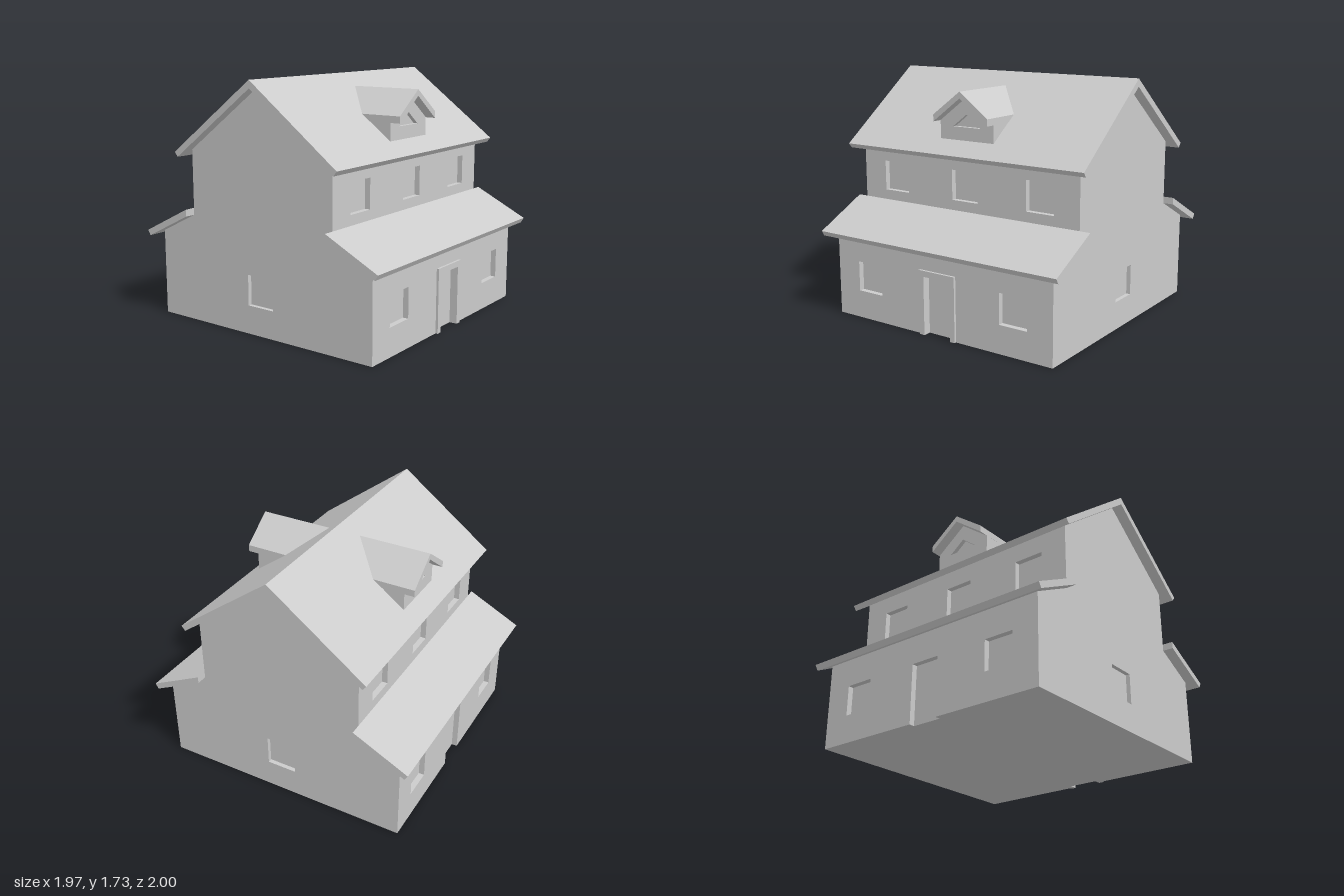
import * as THREE from 'three';

const material = new THREE.MeshStandardMaterial({ color: 0xcccccc });

function polygon(points) {
  return new THREE.Shape(points.map(([x, y]) => new THREE.Vector2(x, y)));
}

function hole(points) {
  return new THREE.Path(points.map(([x, y]) => new THREE.Vector2(x, y)));
}

const rect = (cx, y0, y1, half = 0.108) =>
  [[cx - half, y0], [cx + half, y0], [cx + half, y1], [cx - half, y1]];

// Closes a half outline by mirroring it across the vertical axis
const mirrored = (half) =>
  [...half, ...half.filter(([u]) => u !== 0).reverse().map(([u, v]) => [-u, v])];

// Extrudes an x/y shape from z0 to z1
function alongZ(name, shape, z0, z1) {
  const geometry = new THREE.ExtrudeGeometry(shape, { depth: z1 - z0, bevelEnabled: false });
  geometry.translate(0, 0, z0);
  const mesh = new THREE.Mesh(geometry, material);
  mesh.name = name;
  return mesh;
}

// Extrudes a z/y shape from x0 to x1
function alongX(name, shape, x0, x1) {
  const geometry = new THREE.ExtrudeGeometry(shape, { depth: x1 - x0, bevelEnabled: false });
  geometry.rotateY(-Math.PI / 2).translate(x1, 0, 0);
  const mesh = new THREE.Mesh(geometry, material);
  mesh.name = name;
  return mesh;
}

const WALL_X = 0.91, SIDE_RECESS = 0.03, INNER_X = WALL_X - SIDE_RECESS;
const LOWER_Z = 0.91, UPPER_Z = 0.605, RECESS = 0.04;
const ROOF_X = 0.987;

function createDormer() {
  const dormer = new THREE.Group();
  dormer.name = 'dormer';
  const outline = mirrored([[0.224, 1.298], [0.224, 1.432], [0, 1.597]]);
  dormer.add(alongZ('dormerBody', polygon(outline), 0.12, 0.545));

  // Gable face with a triangular recess
  const face = polygon(outline);
  face.holes.push(hole([[-0.115, 1.392], [0.115, 1.392], [0, 1.48]]));
  dormer.add(alongZ('dormerGable', face, 0.545, 0.575));

  const roof = polygon([
    [0.227, 1.425], [0.227, 1.473], [0, 1.64], [-0.227, 1.473], [-0.227, 1.425], [0, 1.595],
  ]);
  dormer.add(alongZ('dormerRoof', roof, 0.1, 0.65));
  return dormer;
}

// One long side of the house: walls, porch roof and dormer
function createLongSide(name) {
  const side = new THREE.Group();
  side.name = name;

  // Ground floor wall, notched for the door
  const lower = polygon([
    [-INNER_X, 0], [-0.11, 0], [-0.11, 0.415], [0.11, 0.415], [0.11, 0],
    [INNER_X, 0], [INNER_X, 0.615], [-INNER_X, 0.615],
  ]);
  for (const x of [-0.61, 0.61]) lower.holes.push(hole(rect(x, 0.2, 0.415)));
  side.add(alongZ('lowerWall', lower, LOWER_Z - RECESS, LOWER_Z));

  // Upper floor wall
  const upper = polygon(rect(0, 0.75, 1.228, INNER_X));
  for (const x of [-0.61, 0, 0.61]) upper.holes.push(hole(rect(x, 0.885, 1.097)));
  side.add(alongZ('upperWall', upper, UPPER_Z - RECESS, UPPER_Z));

  const porch = polygon([[0.605, 0.765], [0.978, 0.58], [1, 0.617], [0.605, 0.814]]);
  side.add(alongX('porchRoof', porch, -ROOF_X, ROOF_X));
  side.add(createDormer());
  return side;
}

export function createModel() {
  const house = new THREE.Group();
  house.name = 'house';

  // Solid core behind the recessed openings
  const core = polygon(mirrored([
    [LOWER_Z - RECESS, 0], [LOWER_Z - RECESS, 0.62], [UPPER_Z - RECESS, 0.77],
    [UPPER_Z - RECESS, 1.25], [0, 1.66],
  ]));
  house.add(alongX('core', core, -INNER_X, INNER_X));

  // Gable walls, each with one window
  for (const s of [-1, 1]) {
    const gable = polygon(mirrored([
      [LOWER_Z, 0], [LOWER_Z, 0.615], [UPPER_Z, 0.766], [UPPER_Z, 1.23], [0, 1.677],
    ]));
    gable.holes.push(hole(rect(0, 0.2, 0.415)));
    const x0 = s > 0 ? INNER_X : -WALL_X;
    house.add(alongX(s > 0 ? 'leftGableWall' : 'rightGableWall', gable, x0, x0 + SIDE_RECESS));
  }

  const front = createLongSide('frontSide');
  const back = createLongSide('backSide');
  back.rotation.y = Math.PI;
  house.add(front, back);

  // Front door surround
  const frame = polygon([
    [-0.15, 0], [-0.11, 0], [-0.11, 0.415], [0.11, 0.415],
    [0.11, 0], [0.15, 0], [0.15, 0.457], [-0.15, 0.457],
  ]);
  house.add(alongZ('doorFrame', frame, LOWER_Z, 0.927));

  // Main pitched roof
  const roof = polygon([
    [0, 1.675], [0.67, 1.177], [0.696, 1.21], [0, 1.73], [-0.696, 1.21], [-0.67, 1.177],
  ]);
  house.add(alongX('mainRoof', roof, -ROOF_X, ROOF_X));
  return house;
}
